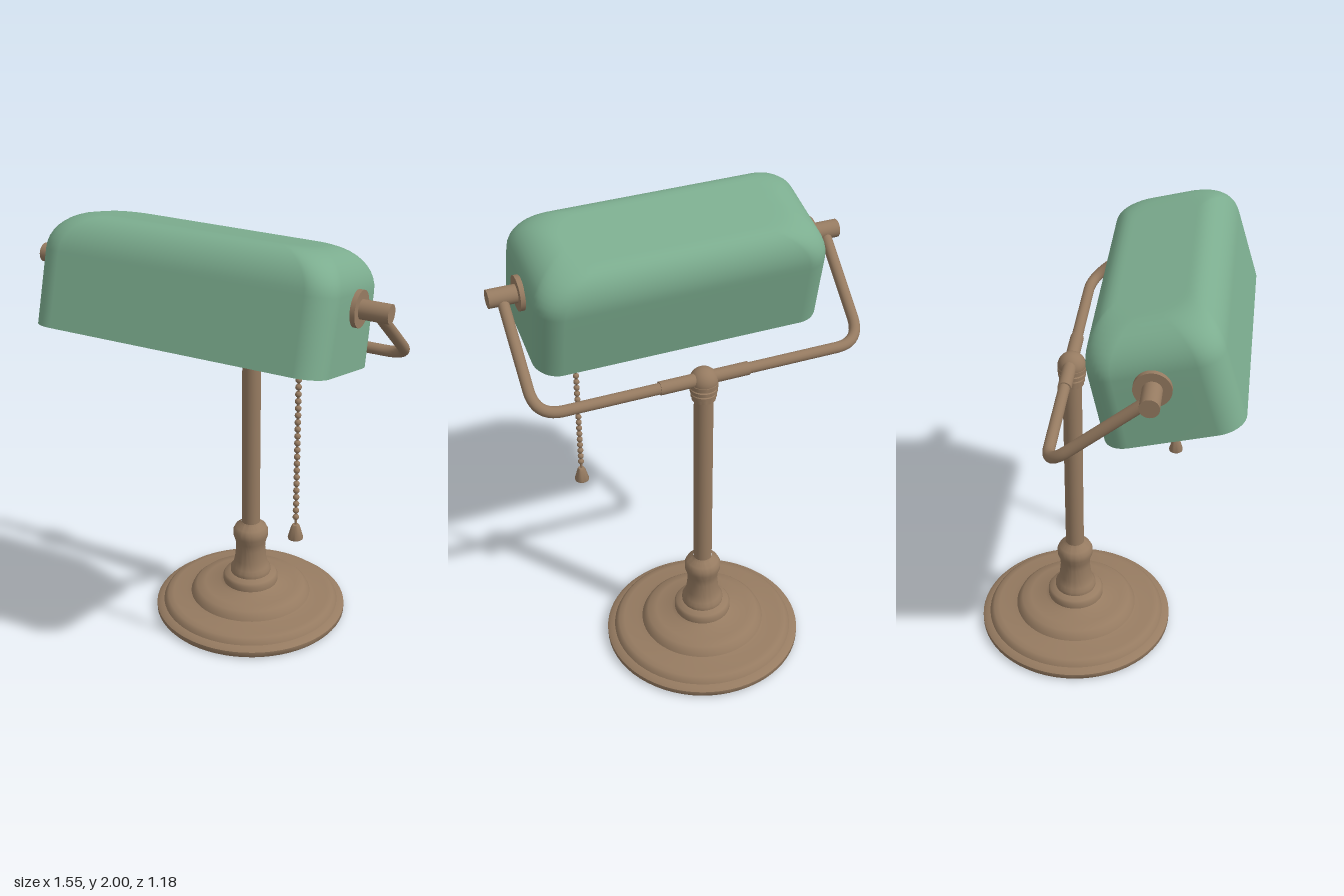
import * as THREE from 'three';
import { toCreasedNormals } from 'three/addons/utils/BufferGeometryUtils.js';

const mat = (name, color, side = THREE.FrontSide) => {
  const m = new THREE.MeshStandardMaterial({ color, side });
  m.name = name;
  return m;
};

export function createModel() {
  const brass = mat('aged brass', 0x967b61);
  const green = mat('green glass', 0x7cad8f);
  const white = mat('white lining', 0xe8e8e8);
  const lamp = new THREE.Group();
  lamp.name = 'deskLamp';

  const add = (parent, name, geometry, material, x = 0, y = 0, z = 0) => {
    const mesh = new THREE.Mesh(geometry, material);
    mesh.name = name;
    mesh.position.set(x, y, z);
    parent.add(mesh);
    return mesh;
  };
  const lathe = (points, segments = 64) => toCreasedNormals(
    new THREE.LatheGeometry(points.map(([r, y]) => new THREE.Vector2(r, y)), segments), 0.7);

  // Rounded-rectangle ring at height y
  const ring = (hx, hz, r, y) => {
    const out = [], n = 10;
    for (let q = 0; q < 4; q++) {
      const sx = q === 0 || q === 3 ? 1 : -1, sz = q < 2 ? 1 : -1;
      for (let i = 0; i <= n; i++) {
        const a = (q + i / n) * Math.PI / 2;
        out.push([sx * (hx - r) + r * Math.cos(a), y, sz * (hz - r) + r * Math.sin(a)]);
      }
    }
    return out;
  };
  // Smooth skin over a stack of rings
  const skin = (rings, flip = false) => {
    const n = rings[0].length, index = [];
    for (let k = 0; k < rings.length - 1; k++) {
      for (let i = 0; i < n; i++) {
        const a = k * n + i, b = k * n + (i + 1) % n, c = a + n, d = b + n;
        if (flip) index.push(a, b, c, b, d, c);
        else index.push(a, c, b, b, c, d);
      }
    }
    const g = new THREE.BufferGeometry();
    g.setAttribute('position', new THREE.Float32BufferAttribute(rings.flat(2), 3));
    g.setIndex(index);
    g.computeVertexNormals();
    return g;
  };
  // Shade wall: slightly tapered sides, soft shoulder, flat top
  const shadeRings = (t) => {
    const rings = [], H = 0.465 - t, hx = 0.635 - t, hz = 0.279 - t, shoulder = 0.16;
    for (let i = 0; i <= 4; i++) {
      const f = i / 4;
      rings.push(ring(hx, hz - 0.012 * f, 0.105 - t * 0.5, (H - shoulder) * f));
    }
    for (let i = 1; i <= 10; i++) {
      const a = i / 10 * Math.PI / 2, k = 1 - Math.cos(a);
      rings.push(ring(hx - 0.17 * k, hz - 0.012 - 0.12 * k, 0.105 - t * 0.5 + 0.015 * k,
        H - shoulder + shoulder * Math.sin(a)));
    }
    const last = rings[rings.length - 1];
    for (const s of [0.9, 0]) rings.push(last.map(([x, y, z]) => [x * s, y, z * s]));
    return rings;
  };

  // Tilted shade
  const shade = new THREE.Group();
  shade.name = 'shade';
  shade.position.set(0, 1.51, 0.32);
  shade.rotation.x = -0.255;
  lamp.add(shade);
  const outer = shadeRings(0), inner = shadeRings(0.024);
  add(shade, 'shadeOuter', skin(outer), green);
  add(shade, 'shadeLining', skin(inner, true), white);
  add(shade, 'shadeRim', skin([inner[0], outer[0]]), green);

  // Stepped base, turned neck, column and collar
  const stand = new THREE.Group();
  stand.name = 'stand';
  stand.position.z = -0.15;
  lamp.add(stand);
  add(stand, 'base', lathe([
    [0, 0], [0.43, 0], [0.438, 0.01], [0.438, 0.03], [0.425, 0.04], [0.405, 0.045],
    [0.398, 0.06], [0.385, 0.072], [0.36, 0.076], [0.3, 0.08], [0.277, 0.086],
    [0.268, 0.105], [0.25, 0.122], [0.21, 0.13], [0.14, 0.137], [0.126, 0.146],
    [0.126, 0.172], [0.118, 0.184], [0.092, 0.193], [0.092, 0.212], [0.082, 0.226],
    [0.073, 0.26], [0.067, 0.32], [0.07, 0.355], [0.08, 0.385], [0.08, 0.41],
    [0.07, 0.43], [0.05, 0.444], [0.042, 0.455]]), brass);
  add(stand, 'column', new THREE.CylinderGeometry(0.041, 0.041, 0.9, 40), brass, 0, 0.89, 0);
  add(stand, 'collar', lathe([
    [0.041, 1.315], [0.05, 1.317], [0.05, 1.333], [0.055, 1.336], [0.055, 1.35],
    [0.051, 1.354], [0.058, 1.358], [0.058, 1.374], [0.053, 1.378], [0.061, 1.383],
    [0.061, 1.402], [0.05, 1.415], [0, 1.42]], 40), brass);
  add(stand, 'knuckle', new THREE.SphereGeometry(0.06, 32, 20), brass, 0, 1.407, 0);
  add(stand, 'sleeve', new THREE.CylinderGeometry(0.029, 0.029, 0.39, 24).rotateZ(Math.PI / 2),
    brass, 0, 1.42, -0.004);

  // U-shaped yoke with rounded corners
  const v = (x, y, z) => new THREE.Vector3(x, y, z);
  const corner = (s) => v(s * 0.715, 1.42, -0.155);
  const end = (s) => v(s * 0.715, 1.75, 0.24);
  const side = (s) => corner(s).lerp(end(s), 0.22);
  const bar = (s) => v(s * 0.6, 1.42, -0.155);
  const path = new THREE.CurvePath();
  path.add(new THREE.LineCurve3(end(-1), side(-1)));
  path.add(new THREE.QuadraticBezierCurve3(side(-1), corner(-1), bar(-1)));
  path.add(new THREE.LineCurve3(bar(-1), bar(1)));
  path.add(new THREE.QuadraticBezierCurve3(bar(1), corner(1), side(1)));
  path.add(new THREE.LineCurve3(side(1), end(1)));
  add(lamp, 'yoke', new THREE.TubeGeometry(path, 140, 0.024, 16), brass);

  // Pivot knobs and flanges
  for (const s of [-1, 1]) {
    const name = s > 0 ? 'left' : 'right';
    add(lamp, name + 'Knob', new THREE.CylinderGeometry(0.039, 0.039, 0.15, 32).rotateZ(Math.PI / 2),
      brass, s * 0.7, 1.75, 0.24);
    add(lamp, name + 'Flange', new THREE.CylinderGeometry(0.074, 0.074, 0.04, 40).rotateZ(Math.PI / 2),
      brass, s * 0.635, 1.75, 0.24);
  }

  // Beaded pull chain
  const chain = new THREE.Group();
  chain.name = 'pullChain';
  chain.position.set(0.415, 0, 0.273);
  lamp.add(chain);
  add(chain, 'cord', new THREE.CylinderGeometry(0.005, 0.005, 0.92, 8), brass, 0, 1.22, 0);
  const bead = new THREE.SphereGeometry(0.0135, 12, 8);
  for (let y = 0.8; y < 1.68; y += 0.031) add(chain, 'bead', bead, brass, 0, y, 0);
  add(chain, 'pull', lathe([
    [0, 0.7], [0.031, 0.7], [0.032, 0.706], [0.018, 0.756], [0.014, 0.764], [0, 0.766]], 24), brass);

  return lamp;
}
